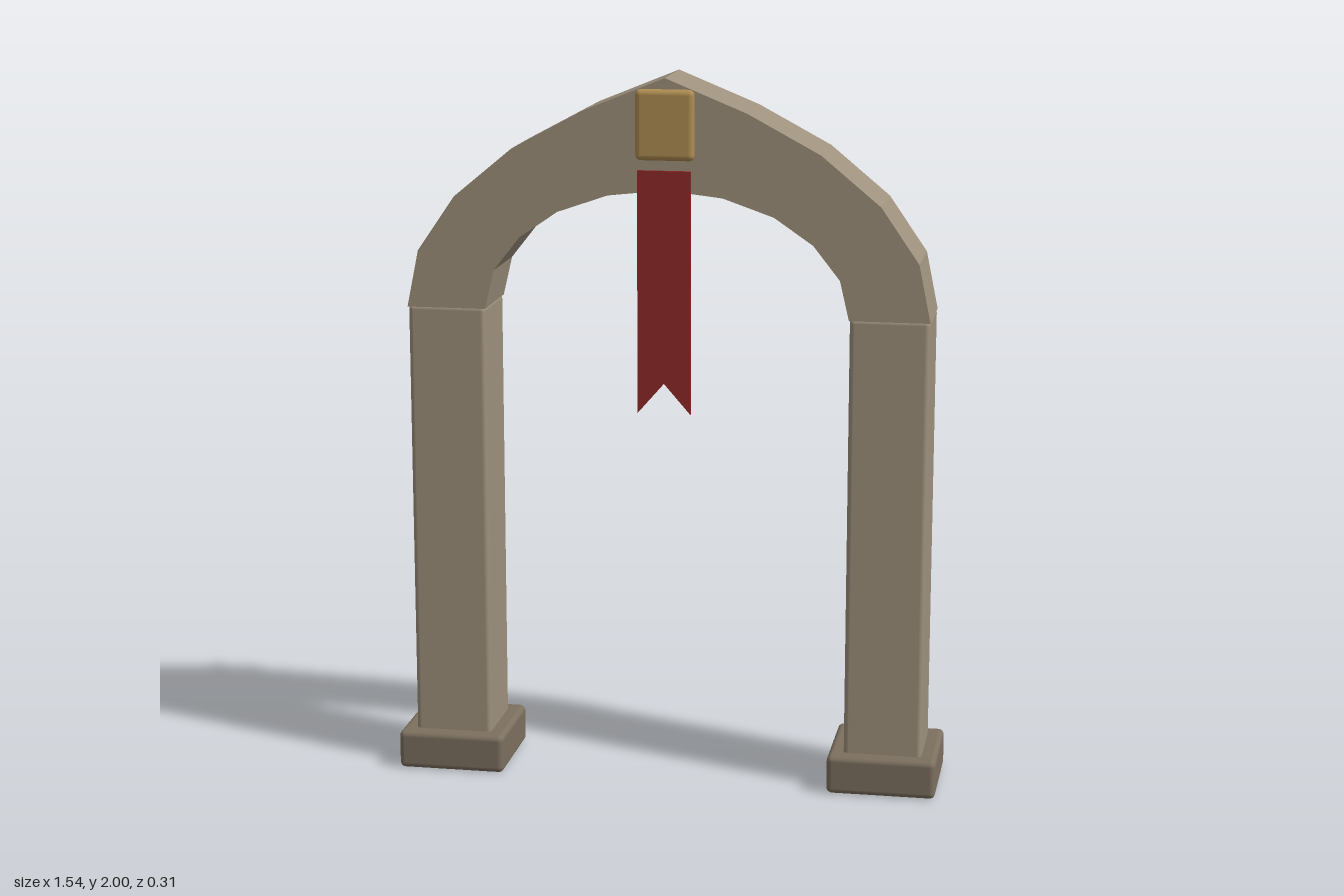
import * as THREE from 'three';
import { RoundedBoxGeometry } from 'three/addons/geometries/RoundedBoxGeometry.js';

const paint = (color, flatShading = false) => new THREE.MeshStandardMaterial({ color, flatShading });

export function createModel() {
  const group = new THREE.Group();
  group.name = 'archway';
  const stone = paint(0x9e917d);
  const darkStone = paint(0x7c705f);

  const add = (name, geometry, material, x = 0, y = 0, z = 0) => {
    const mesh = new THREE.Mesh(geometry, material);
    mesh.name = name;
    mesh.position.set(x, y, z);
    group.add(mesh);
  };
  // Extrusion of an outline, centred on z
  const slab = (points, depth) => {
    const shape = new THREE.Shape(points.map(([x, y]) => new THREE.Vector2(x, y)));
    return new THREE.ExtrudeGeometry(shape, { depth, bevelEnabled: false }).translate(0, 0, -depth / 2);
  };

  // Plinths and pillars
  for (const [side, s] of [['left', 1], ['right', -1]]) {
    add(side + 'Plinth', new RoundedBoxGeometry(0.306, 0.11, 0.306, 3, 0.016), darkStone, s * 0.619, 0.055 + 0.002);
    add(side + 'Pillar', new RoundedBoxGeometry(0.22, 1.265, 0.222, 3, 0.014), stone, s * 0.619, 0.723);
  }

  // Pointed arch: half outlines from springing line to crown, mirrored
  const outer = [[0.73, 1.35], [0.697, 1.51], [0.592, 1.663], [0.427, 1.8], [0.226, 1.908]];
  const inner = [[0.508, 1.35], [0.482, 1.46], [0.408, 1.554], [0.3, 1.628], [0.159, 1.677]];
  const mirror = (points) => points.map(([x, y]) => [-x, y]).reverse();
  const outline = [
    ...outer, [0, 2], ...mirror(outer),
    ...mirror(inner).reverse(), [0, 1.695], ...[...inner].reverse(),
  ];
  add('arch', slab(outline, 0.226), paint(0x9e917d, true));

  // Keystone block through the crown
  add('keystone', new RoundedBoxGeometry(0.164, 0.194, 0.256, 3, 0.016), paint(0xb08e52), 0, 1.873);

  // Swallow-tailed banner hanging in front
  const banner = [[-0.074, 1.075], [0, 1.16], [0.074, 1.075], [0.074, 1.75], [-0.074, 1.75]];
  add('banner', slab(banner, 0.008), paint(0x8e2a28, true), 0, 0, 0.126);

  return group;
}
